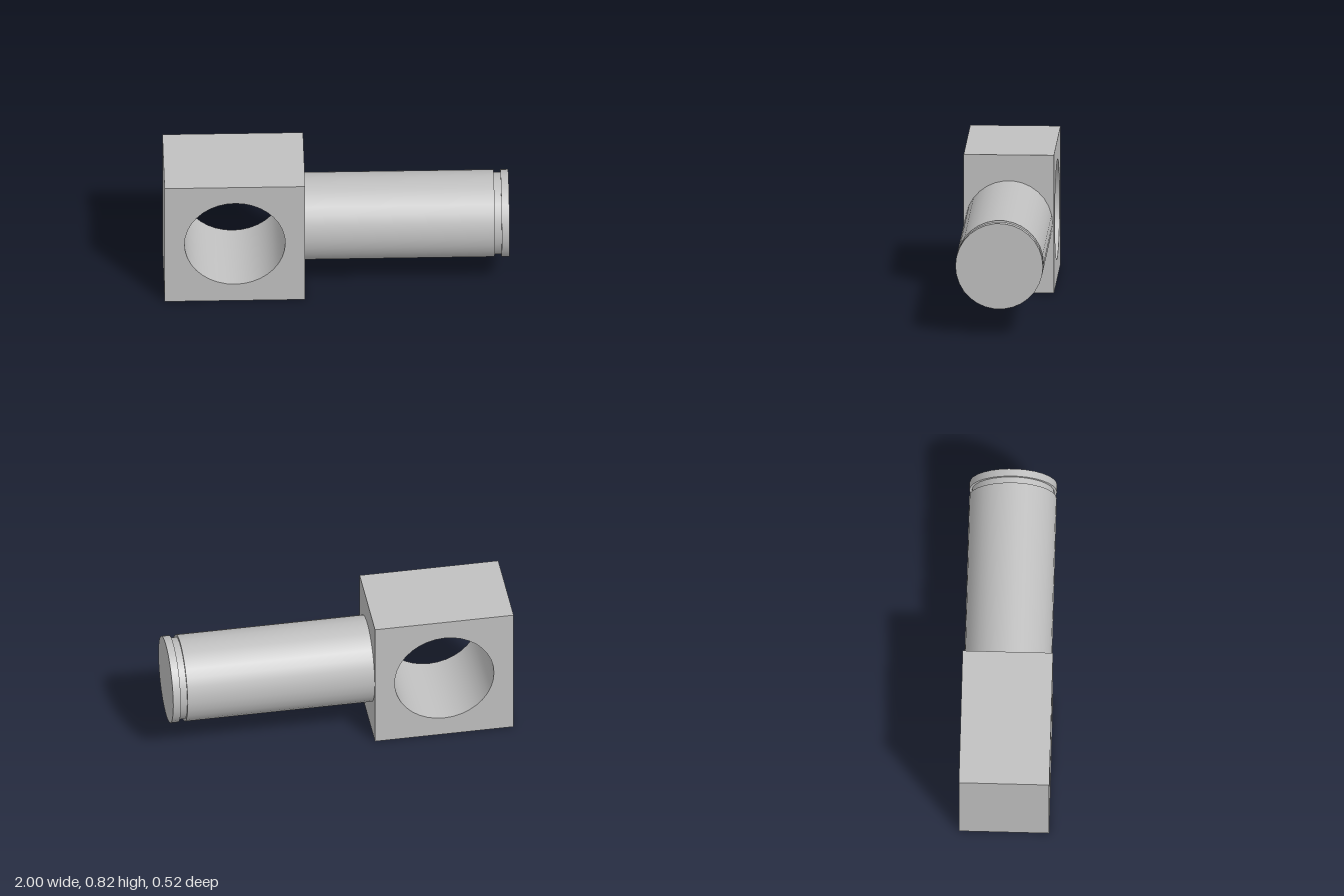
import * as THREE from 'three';
import { mergeGeometries, toCreasedNormals } from 'three/addons/utils/BufferGeometryUtils.js';

const AXIS_Y = 0.41;      // height of the bore and pin axes
const BLOCK_RIGHT = -0.185;

// Turned part along +x: each profile step is its own lathe so edges stay sharp
function turned(profile, segments) {
  const steps = [];
  for (let i = 0; i < profile.length - 1; i++) {
    const pair = [profile[i], profile[i + 1]].map(([x, r]) => new THREE.Vector2(r, x));
    steps.push(new THREE.LatheGeometry(pair, segments));
  }
  return mergeGeometries(steps).rotateZ(-Math.PI / 2);
}

export function createModel() {
  const model = new THREE.Group();
  model.name = 'pinBlock';
  const steel = new THREE.MeshStandardMaterial({ color: 0xc0c0c0 });
  steel.name = 'plain grey';

  // Square block with a through bore from front to back
  const height = 0.817, depth = 0.524;
  const outline = new THREE.Shape();
  outline.moveTo(-1, 0);
  outline.lineTo(BLOCK_RIGHT, 0);
  outline.lineTo(BLOCK_RIGHT, height);
  outline.lineTo(-1, height);
  outline.closePath();
  const bore = new THREE.Path();
  bore.absarc((BLOCK_RIGHT - 1) / 2, AXIS_Y, 0.292, 0, Math.PI * 2, true);
  outline.holes.push(bore);
  const blockGeometry = new THREE.ExtrudeGeometry(outline, {
    depth, bevelEnabled: false, curveSegments: 18,
  });
  blockGeometry.translate(0, 0, -depth / 2);
  const block = new THREE.Mesh(toCreasedNormals(blockGeometry, 0.6), steel);
  block.name = 'boredBlock';
  model.add(block);

  // Round pin with a retaining groove near its end: [x, radius]
  const pin = new THREE.Mesh(turned([
    [BLOCK_RIGHT, 0.254], [0.915, 0.254],
    [0.915, 0.239], [0.955, 0.239],
    [0.955, 0.254], [1, 0.254], [1, 0],
  ], 30), steel);
  pin.name = 'groovedPin';
  pin.position.y = AXIS_Y;
  model.add(pin);

  return model;
}
